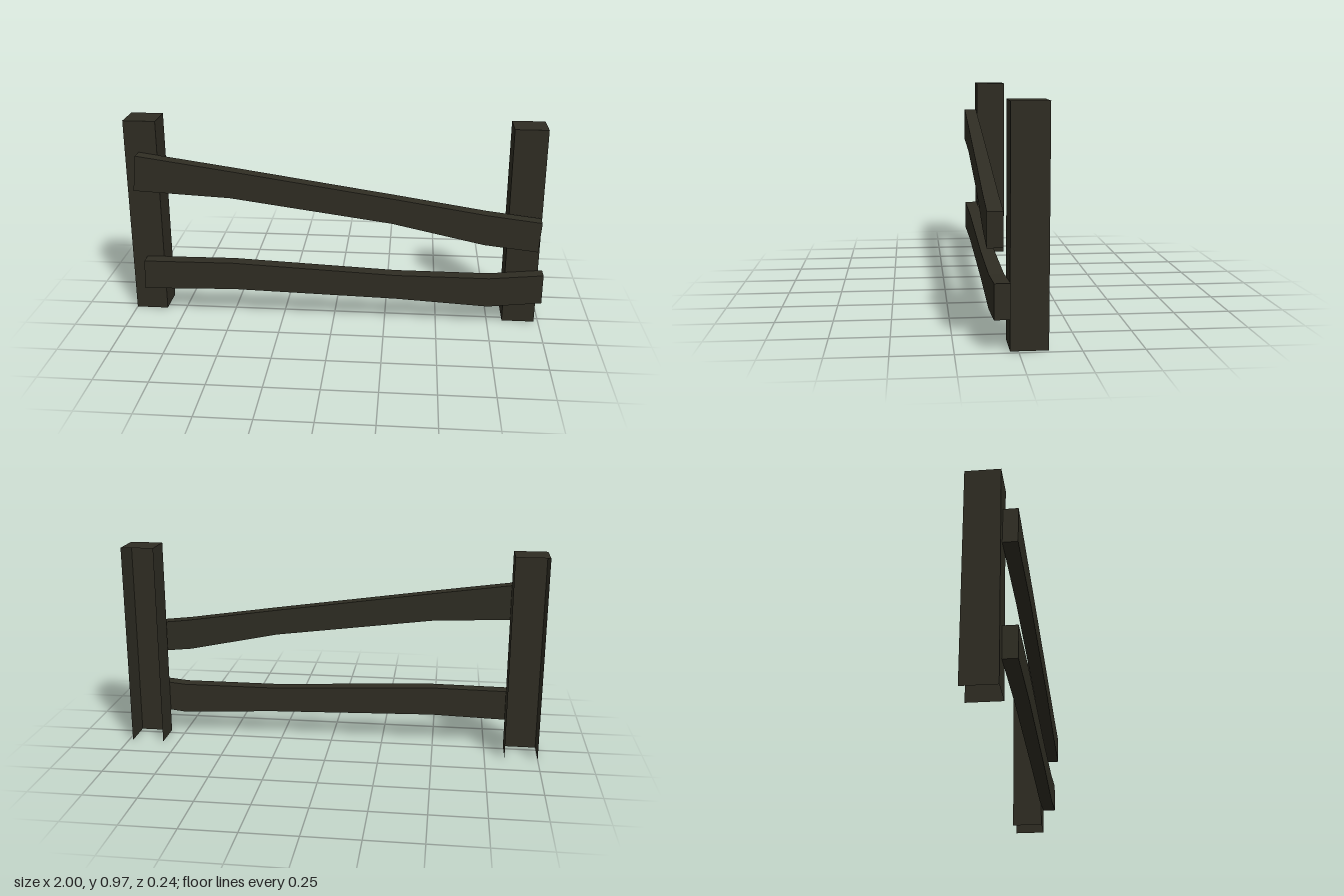
import * as THREE from 'three';

const darkWood = new THREE.MeshStandardMaterial({ color: 0x2f2d23, side: THREE.DoubleSide });
darkWood.name = 'darkWood';

// Post: a box shell that is open at the back and underneath
function makePost(name, x) {
  const w = 0.155, h = 0.97, d = 0.153;
  const geo = new THREE.BoxGeometry(w, h, d);
  const index = Array.from(geo.index.array);
  // box face order: +x, -x, +y, -y, +z, -z, six indices each
  geo.setIndex([...index.slice(0, 18), ...index.slice(24, 30)]);
  geo.clearGroups();
  const post = new THREE.Mesh(geo, darkWood);
  post.name = name;
  post.position.set(x, h / 2, -0.0435);
  return post;
}

// Rail: crooked plank outline extruded towards the front, turned slightly by yaw
function makeRail(name, bottom, top, backZ, yaw) {
  const outline = [...bottom, ...top.slice().reverse()];
  const shape = new THREE.Shape(outline.map(([x, y]) => new THREE.Vector2(x, y)));
  const geo = new THREE.ExtrudeGeometry(shape, { depth: 0.064, bevelEnabled: false });
  const rail = new THREE.Mesh(geo, darkWood);
  rail.name = name;
  rail.position.z = backZ;
  rail.rotation.y = yaw;
  return rail;
}

export function createModel() {
  const fence = new THREE.Group();
  fence.name = 'fence';

  fence.add(makePost('rightPost', -0.9225), makePost('leftPost', 0.9025));

  // Sagging upper rail, its low end swung away from the post
  fence.add(makeRail('upperRail',
    [[-0.952, 0.645], [-0.49, 0.624], [0.275, 0.524], [0.71, 0.433], [0.962, 0.406]],
    [[-0.933, 0.818], [-0.47, 0.754], [0.3, 0.643], [0.72, 0.58], [0.972, 0.551]],
    0.0455, -0.013));

  // Lower rail, flat against both posts
  fence.add(makeRail('lowerRail',
    [[-0.932, 0.136], [-0.49, 0.148], [0.3, 0.128], [0.745, 0.104], [1.0, 0.132]],
    [[-0.928, 0.282], [-0.49, 0.286], [0.3, 0.251], [0.745, 0.251], [1.0, 0.276]],
    0.033, 0));

  return fence;
}
